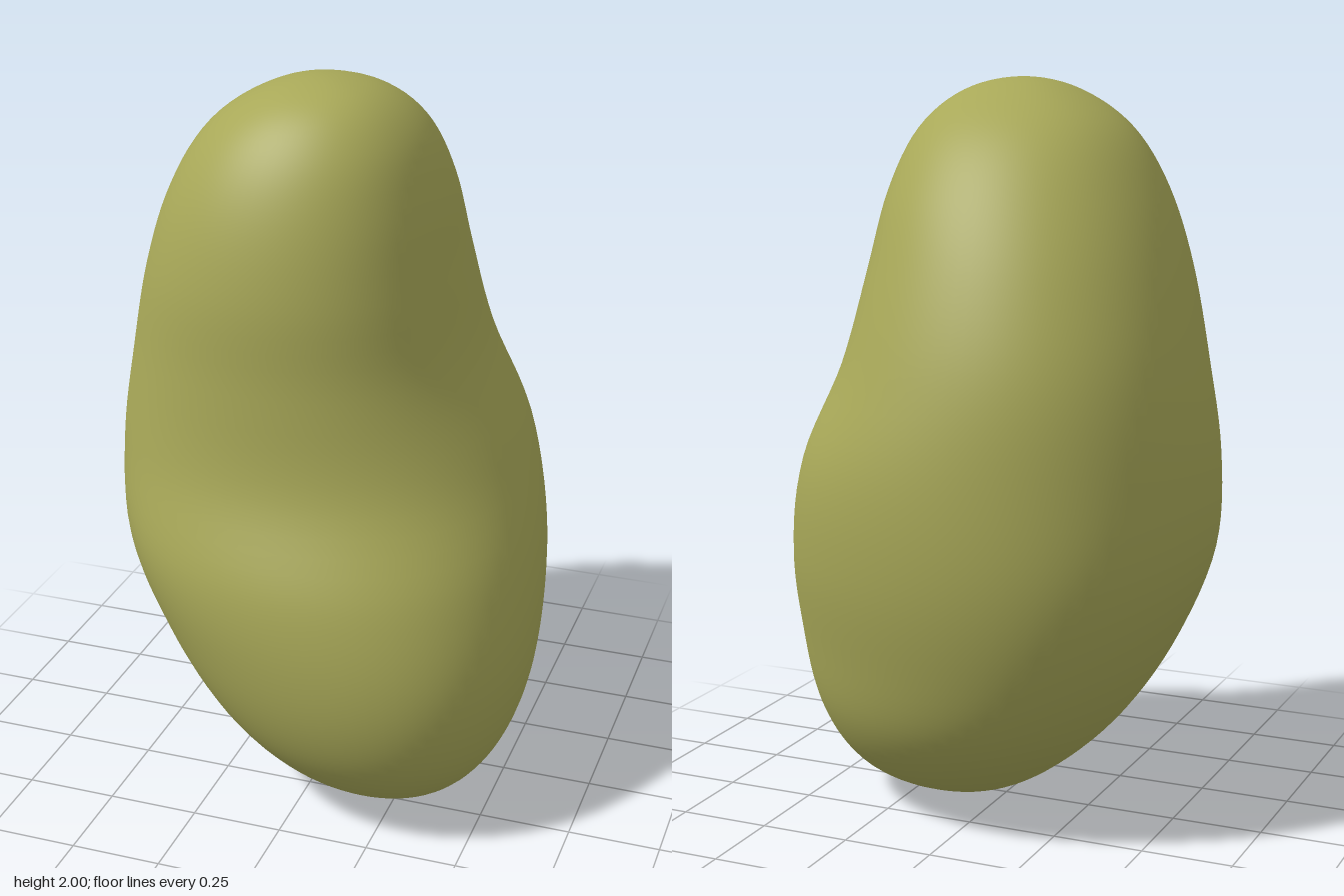
import * as THREE from 'three';
import { mergeVertices } from 'three/addons/utils/BufferGeometryUtils.js';

// Extents of the body from bottom to top, at heights 1 - cos(k * PI / 12):
// [min x, max x, min z, max z, diagonal skew of the cross-section]
const SECTIONS = [
  [0.17, 0.17, 0.05, 0.05, 0.15],
  [-0.02, 0.35, -0.14, 0.28, 0.15],
  [-0.19, 0.485, -0.33, 0.45, 0.16],
  [-0.355, 0.565, -0.475, 0.565, 0.16],
  [-0.49, 0.598, -0.555, 0.615, 0.14],
  [-0.582, 0.582, -0.605, 0.6, 0.06],
  [-0.597, 0.51, -0.607, 0.505, -0.01],
  [-0.56, 0.4, -0.565, 0.48, 0.02],
  [-0.5, 0.345, -0.485, 0.475, 0.02],
  [-0.42, 0.305, -0.38, 0.435, 0],
  [-0.315, 0.245, -0.25, 0.36, 0],
  [-0.165, 0.14, -0.085, 0.25, 0],
  [-0.01, -0.01, 0.09, 0.09, 0],
];

// How far the cross-sections swell towards their corners
const FULLNESS = 0.06;

// Smooth curve through one triple of values per section
const smooth = (pick) => new THREE.CatmullRomCurve3(
  SECTIONS.map((s) => new THREE.Vector3(...pick(s))), false, 'catmullrom', 0.5);

function bodyGeometry() {
  const centre = smooth(([x0, x1, z0, z1, skew]) => [(x0 + x1) / 2, skew, (z0 + z1) / 2]);
  const radius = smooth(([x0, x1, z0, z1]) => [(x1 - x0) / 2, 0, (z1 - z0) / 2]);

  // Reshape each ring of a sphere into a shifted, skewed, slightly squared oval
  const geometry = new THREE.SphereGeometry(1, 80, 72);
  const { position, uv } = geometry.attributes;
  const c = new THREE.Vector3();
  const r = new THREE.Vector3();
  const swell = (a) => Math.cos(a) * (1 + FULLNESS * Math.sin(a) ** 2);
  for (let i = 0; i < position.count; i++) {
    const t = THREE.MathUtils.clamp(uv.getY(i), 0, 1);
    const angle = Math.PI - uv.getX(i) * Math.PI * 2;
    centre.getPoint(t, c);
    radius.getPoint(t, r);
    position.setXYZ(i,
      c.x + r.x * swell(angle),
      1 - Math.cos(t * Math.PI),
      c.z + r.z * swell(angle + Math.asin(c.y) - Math.PI / 2));
  }

  // Close the seam so the shading is continuous
  geometry.deleteAttribute('uv');
  geometry.deleteAttribute('normal');
  const merged = mergeVertices(geometry, 1e-5);
  merged.computeVertexNormals();
  return merged;
}

export function createModel() {
  const group = new THREE.Group();
  const body = new THREE.Mesh(bodyGeometry(), new THREE.MeshStandardMaterial({ color: 0xa8a858 }));
  body.name = 'body';
  group.add(body);
  return group;
}
